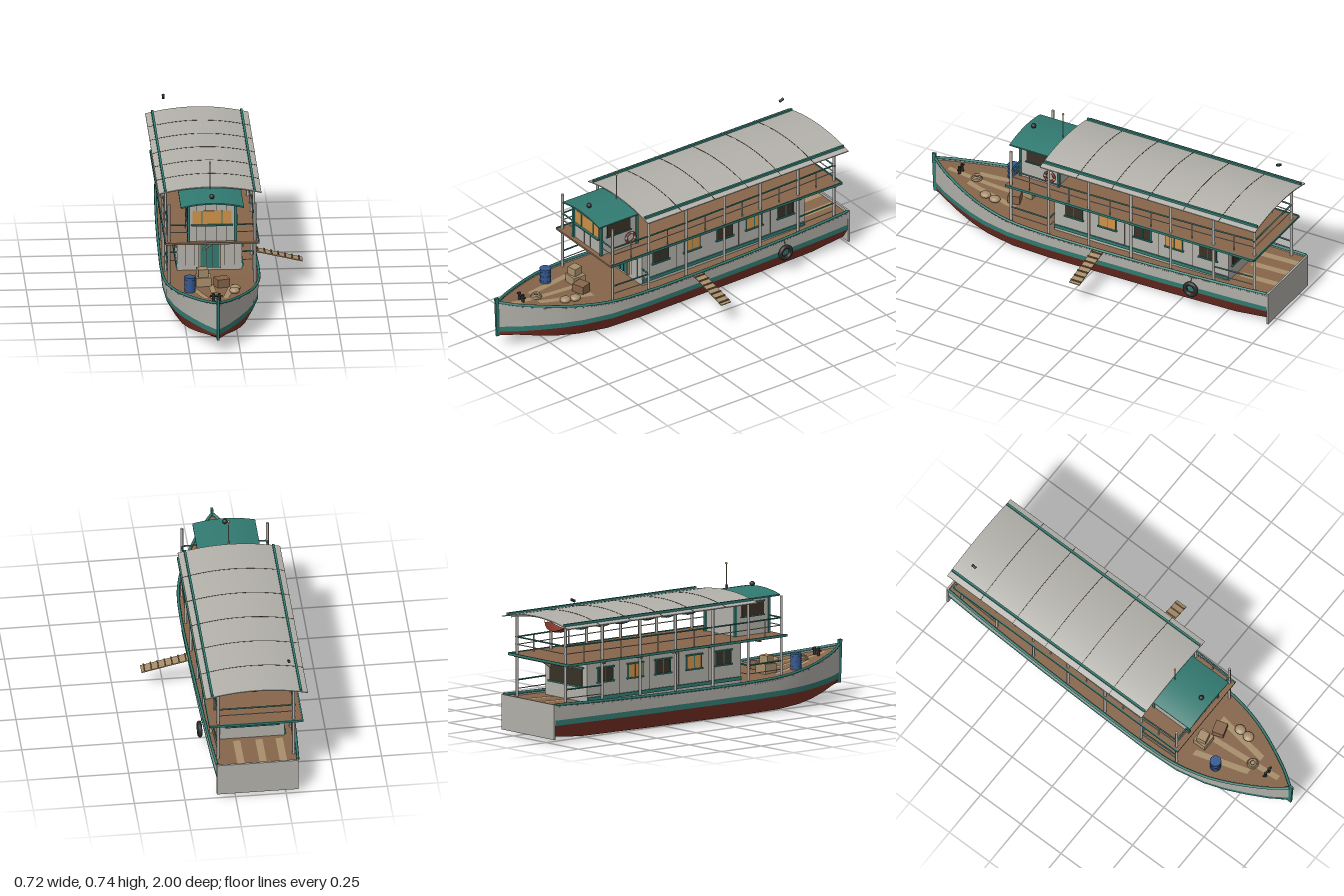
import * as THREE from 'three';
import { toCreasedNormals } from 'three/addons/utils/BufferGeometryUtils.js';

const paint = (name, color) => {
  const m = new THREE.MeshStandardMaterial({ color, side: THREE.DoubleSide });
  m.name = name;
  return m;
};
const V = (x, y, z) => new THREE.Vector3(x, y, z);

// Hull stations from stern to bow: z, half width, sheer height, chine height, keel height
const stations = [
  [-0.99, 0.2, 0.195, 0.03, 0.02], [-0.8, 0.211, 0.189, 0.014, 0.004], [-0.4, 0.226, 0.181, 0.012, 0],
  [0, 0.235, 0.178, 0.012, 0], [0.25, 0.238, 0.18, 0.012, 0], [0.45, 0.229, 0.187, 0.013, 0.002],
  [0.6, 0.197, 0.2, 0.02, 0.006], [0.7, 0.161, 0.21, 0.03, 0.014], [0.8, 0.114, 0.223, 0.045, 0.027],
  [0.9, 0.06, 0.238, 0.064, 0.046], [0.98, 0.004, 0.254, 0.08, 0.065],
];
const at = (z, k) => {
  let i = 0;
  while (i < stations.length - 2 && stations[i + 1][0] < z) i++;
  const a = stations[i], b = stations[i + 1];
  return a[k] + (b[k] - a[k]) * (z - a[0]) / (b[0] - a[0]);
};
const deckY = z => at(z, 2) - 0.014;

export function createModel() {
  const grey = paint('weathered white', 0xb3b1aa), teal = paint('teal', 0x317a71), red = paint('hull red', 0x823529);
  const wood = paint('deck wood', 0x87664b), tan = paint('pale wood', 0xa88f6c), amber = paint('lamp amber', 0xce9248);
  const dark = paint('black rubber', 0x2c2c2b), blue = paint('blue', 0x35588f), glass = paint('dark glass', 0x3a3127);

  const model = new THREE.Group();
  model.name = 'riverBoat';
  const boat = new THREE.Group();
  boat.name = 'boat';
  boat.position.x = -0.11;
  model.add(boat);

  const add = (name, geo, mat, x = 0, y = 0, z = 0) => {
    const m = new THREE.Mesh(geo, mat);
    m.name = name;
    m.position.set(x, y, z);
    boat.add(m);
    return m;
  };
  const box = (name, mat, w, h, d, x, y, z) => add(name, new THREE.BoxGeometry(w, h, d), mat, x, y, z);
  const cyl = (name, mat, r0, r1, h, x, y, z, n = 16) => add(name, new THREE.CylinderGeometry(r0, r1, h, n), mat, x, y, z);
  const bar = (name, mat, p, q, r, n = 8) => {
    const d = q.clone().sub(p);
    const m = cyl(name, mat, r, r, d.length(), 0, 0, 0, n);
    m.position.copy(p).addScaledVector(d, 0.5);
    m.quaternion.setFromUnitVectors(V(0, 1, 0), d.normalize());
    return m;
  };
  // Skin over a list of equal-length cross-sections
  const loft = (name, mat, rows) => {
    const n = rows[0].length, idx = [];
    for (let i = 0; i < rows.length - 1; i++) for (let j = 0; j < n - 1; j++) {
      const a = i * n + j, b = a + n;
      idx.push(a, b, a + 1, b, b + 1, a + 1);
    }
    const g = new THREE.BufferGeometry();
    g.setAttribute('position', new THREE.Float32BufferAttribute(rows.flat(2), 3));
    g.setIndex(idx);
    return add(name, toCreasedNormals(g, 0.5), mat);
  };

  // Hull: red bottom, teal band, pale topsides, deck and gunwales
  loft('hullBottom', red, stations.map(([z, w, , c, k]) => [
    [-w * 0.98, 0.088, z], [-w * 0.79, c, z], [0, k, z], [w * 0.79, c, z], [w * 0.98, 0.088, z]]));
  for (const s of [1, -1]) {
    loft('waterlineBand', teal, stations.map(([z, w]) => [[s * w * 0.985, 0.115, z], [s * w * 0.98, 0.088, z]]));
    loft('topsides', grey, stations.map(([z, w, y]) => [[s * w, y, z], [s * w * 0.985, 0.115, z]]));
    const path = new THREE.CatmullRomCurve3(stations.map(([z, w, y]) => V(s * w, y, z)));
    add('gunwale', new THREE.TubeGeometry(path, 60, 0.007, 8), teal);
  }
  loft('mainDeck', wood, stations.map(([z, w]) => [[w, deckY(z), z], [-w, deckY(z), z]]));
  box('transom', grey, 0.404, 0.175, 0.01, 0, 0.108, -0.995);
  const stem = box('stemPost', teal, 0.012, 0.215, 0.02, 0, 0.172, 0.985);
  stem.rotation.x = 0.04;

  // Pale replaced planks on bow and stern decks
  const patch = (x0, z0, x1, z1, w) => loft('palePlank', tan, [0, 0.25, 0.5, 0.75, 1].map(t => {
    const z = z0 + (z1 - z0) * t, x = x0 + (x1 - x0) * t;
    return [[x - w, deckY(z) + 0.002, z], [x + w, deckY(z) + 0.002, z]];
  }));
  patch(-0.12, 0.48, -0.045, 0.76, 0.016);
  patch(-0.01, 0.48, 0.012, 0.9, 0.014);
  patch(0.1, 0.48, 0.05, 0.77, 0.016);
  for (const x of [-0.13, -0.03, 0.08]) patch(x, -0.985, x, -0.78, 0.018);

  // Main cabin
  box('mainCabin', grey, 0.32, 0.22, 0.98, 0, 0.268, -0.265);
  for (const s of [1, -1]) {
    box('cabinBaseStrip', teal, 0.008, 0.018, 0.98, s * 0.162, 0.19, -0.265);
    [0.113, -0.075, -0.273, -0.45, -0.64].forEach((z, i) => {
      box('cabinWindow', i % 2 ? amber : glass, 0.006, 0.066, 0.09, s * 0.161, 0.304, z);
      for (const y of [0.34, 0.268]) box('windowTrim', teal, 0.014, 0.007, 0.108, s * 0.163, y, z);
      for (const dz of [-0.046, 0, 0.046]) box('windowBar', teal, 0.01, 0.068, 0.004, s * 0.161, 0.304, z + dz);
    });
    for (const z of [0.02, -0.17, -0.36, -0.55]) box('wallSeam', glass, 0.002, 0.18, 0.002, s * 0.16, 0.28, z);
    for (const x of [0.075, 0.12]) box('wallSeam', glass, 0.002, 0.18, 0.002, s * x, 0.28, 0.225);
  }
  box('sternWindow', glass, 0.25, 0.09, 0.008, 0, 0.295, -0.756);
  for (const y of [0.247, 0.343]) box('sternWindowTrim', teal, 0.27, 0.007, 0.014, 0, y, -0.757);

  // Front door with pale frame and brace
  box('frontDoor', teal, 0.09, 0.165, 0.008, 0, 0.262, 0.228);
  box('doorLintel', tan, 0.122, 0.009, 0.016, 0, 0.353, 0.232);
  for (const s of [1, -1]) box('doorJamb', tan, 0.01, 0.17, 0.014, s * 0.051, 0.264, 0.231);
  for (const x of [-0.015, 0.015]) box('doorSeam', glass, 0.002, 0.16, 0.002, x, 0.262, 0.233);
  box('doorRail', tan, 0.08, 0.007, 0.006, 0, 0.327, 0.235);
  bar('doorBrace', tan, V(0.04, 0.325, 0.236), V(-0.035, 0.272, 0.236), 0.004);

  // Upper deck with teal edging
  box('upperDeck', wood, 0.456, 0.01, 1.395, 0, 0.384, -0.235);
  for (const s of [1, -1]) box('deckEdge', teal, 0.006, 0.012, 1.395, s * 0.23, 0.387, -0.235);
  box('sternDeckEdge', teal, 0.46, 0.012, 0.006, 0, 0.387, -0.933);
  for (const z of [0.3, 0, -0.235, -0.455, -0.69, -0.9]) box('deckBeam', wood, 0.44, 0.01, 0.012, 0, 0.374, z);

  // Posts and railings
  const postZ = [0.44, 0.225, 0, -0.235, -0.455, -0.69, -0.915];
  const postX = z => Math.min(at(z, 1) - 0.018, 0.217);
  const rails = [[0.475, teal, 0.004], [0.437, grey, 0.0025]], lowRails = [[0.26, teal, 0.004], [0.217, grey, 0.0025]];
  for (const s of [1, -1]) {
    for (const z of postZ) bar('post', grey, V(s * postX(z), deckY(z), z), V(s * postX(z), 0.583, z), 0.007);
    postZ.slice(1).forEach((z, i) => {
      const a = postZ[i];
      for (const [y, m, r] of rails) bar('upperRail', m, V(s * postX(a), y, a), V(s * postX(z), y, z), r);
      if (i === 0 || i === 5)
        for (const [y, m, r] of lowRails) bar('lowerRail', m, V(s * postX(a), y, a), V(s * postX(z), y, z), r);
      const mid = (a + z) / 2;
      bar('railStanchion', grey, V(s * postX(mid), 0.388, mid), V(s * postX(mid), 0.475, mid), 0.003);
    });
    for (const [y, m, r] of rails) bar('frontRail', m, V(s * 0.217, y, 0.44), V(s * 0.12, y, 0.44), r);
    for (const [y, m, r] of lowRails) bar('cabinRail', m, V(s * 0.217, y, 0.225), V(s * 0.16, y, 0.225), r);
  }
  for (const [y, m, r] of rails) bar('sternRail', m, V(-0.198, y, -0.915), V(0.198, y, -0.915), r);

  // Arched roofs
  const arch = (name, mat, half, top, drop, thick, z0, z1) => {
    const pts = [], n = 16;
    for (let i = 0; i <= n; i++) {
      const t = i / n * 2 - 1;
      pts.push(new THREE.Vector2(t * half, top - drop * t * t));
    }
    const low = pts.slice().reverse().map(p => new THREE.Vector2(p.x, p.y - thick));
    const g = new THREE.ExtrudeGeometry(new THREE.Shape([...pts, ...low]), { depth: z1 - z0, bevelEnabled: false });
    return add(name, toCreasedNormals(g, 0.5), mat, 0, 0, z0);
  };
  arch('mainRoof', grey, 0.253, 0.607, 0.032, 0.005, -0.955, 0.255);
  for (const z of [0.05, -0.15, -0.35, -0.55, -0.75]) arch('roofSeam', glass, 0.253, 0.608, 0.032, 0.002, z, z + 0.003);
  for (const z of postZ.slice(1)) arch('roofRib', grey, 0.225, 0.602, 0.026, 0.009, z - 0.005, z + 0.005);
  for (const s of [1, -1]) box('roofRunner', teal, 0.011, 0.016, 1.2, s * 0.219, 0.586, -0.35);
  arch('wheelhouseRoof', teal, 0.155, 0.599, 0.02, 0.007, 0.22, 0.48);

  // Wheelhouse
  box('wheelhouse', grey, 0.232, 0.195, 0.21, 0, 0.484, 0.333);
  for (const s of [1, -1]) {
    for (const z of [0.44, 0.226]) box('wheelhouseCorner', teal, 0.013, 0.195, 0.013, s * 0.115, 0.485, z);
    box('sideWindow', glass, 0.006, 0.065, 0.14, s * 0.116, 0.517, 0.335);
    for (const y of [0.482, 0.552]) box('sideWindowTrim', teal, 0.012, 0.005, 0.15, s * 0.117, y, 0.335);
    box('windowMullion', teal, 0.005, 0.07, 0.008, s * 0.049, 0.512, 0.44);
  }
  box('frontWindow', amber, 0.19, 0.07, 0.006, 0, 0.512, 0.438);
  box('frontSill', teal, 0.204, 0.007, 0.018, 0, 0.474, 0.444);
  for (const x of [-0.078, -0.03, 0.02, 0.07]) box('wheelhouseSeam', glass, 0.002, 0.19, 0.002, x, 0.484, 0.438);

  // Lifebuoy in four red and four pale arcs
  for (let i = 0; i < 8; i++) {
    const arc = add('lifebuoy', new THREE.TorusGeometry(0.026, 0.007, 8, 6, Math.PI / 4 * (i % 2 ? 0.5 : 1.5)), i % 2 ? grey : red, 0.127, 0.44, 0.27);
    arc.rotation.set(0, Math.PI / 2, 0);
    arc.rotateZ(Math.floor(i / 2) * Math.PI / 2 + (i % 2 ? Math.PI * 0.375 : 0));
  }

  // Mast, searchlight and loose stack cap
  cyl('mast', grey, 0.002, 0.003, 0.14, 0, 0.665, 0.265, 8);
  add('mastLamp', new THREE.SphereGeometry(0.006, 12, 8), amber, 0, 0.737, 0.265);
  add('searchlight', new THREE.SphereGeometry(0.013, 14, 10), dark, 0, 0.617, 0.43);
  bar('stackCap', dark, V(-0.17, 0.692, -0.842), V(-0.17, 0.702, -0.864), 0.007, 12);

  // Hammocks slung across the upper deck
  [[0.01, blue], [-0.125, teal], [-0.247, red], [-0.415, blue], [-0.54, amber], [-0.67, teal], [-0.805, red]].forEach(([z, mat]) => {
    const rows = [];
    for (let i = 0; i <= 12; i++) {
      const t = i / 6 - 1, w = 0.018 + 0.03 * (1 - t * t), y = 0.508 + 0.042 * t * t;
      rows.push([-1, -0.5, 0, 0.5, 1].map(u => [t * 0.085, y + 0.014 * u * u * (1 - t * t), z + u * w]));
    }
    loft('hammock', mat, rows);
    for (const s of [1, -1]) for (const u of [-1, 0, 1])
      bar('hammockCord', tan, V(s * 0.085, 0.55, z + u * 0.018), V(s * 0.11, 0.595, z), 0.0012, 5);
  });

  // Foredeck cargo
  cyl('barrel', blue, 0.027, 0.027, 0.08, -0.118, 0.226, 0.61, 20);
  for (const y of [0.2, 0.226, 0.25, 0.264]) cyl('barrelHoop', blue, 0.0285, 0.0285, 0.004, -0.118, y, 0.61, 20);
  box('crate', tan, 0.075, 0.05, 0.07, -0.045, 0.198, 0.48);
  box('crate', tan, 0.05, 0.04, 0.05, -0.05, 0.243, 0.48).rotation.y = 0.2;
  box('crate', wood, 0.065, 0.045, 0.06, 0.045, 0.2, 0.51).rotation.y = 0.3;
  [[0.106, 0.59], [0.1, 0.645]].forEach(([x, z]) => add('sack', new THREE.SphereGeometry(0.026, 14, 10), tan, x, deckY(z) + 0.012, z).scale.set(1, 0.6, 1.1));
  for (let i = 0; i < 3; i++)
    add('ropeCoil', new THREE.TorusGeometry(0.024 - i * 0.004, 0.005, 8, 20), tan, 0, deckY(0.75) + 0.006 + i * 0.006, 0.75).rotation.x = Math.PI / 2;
  for (const s of [1, -1]) cyl('bollard', dark, 0.007, 0.008, 0.04, s * 0.014, deckY(0.84) + 0.02, 0.84);
  bar('bollardBar', dark, V(-0.032, 0.243, 0.84), V(0.032, 0.243, 0.84), 0.005);
  bar('sternOar', tan, V(0.12, 0.31, -0.74), V(0.12, 0.36, -0.82), 0.008);

  // Tyre fender hung on the side
  const tyreX = at(-0.585, 1) + 0.022;
  add('tyreFender', new THREE.TorusGeometry(0.031, 0.011, 10, 24), dark, tyreX, 0.117, -0.585).rotation.y = Math.PI / 2;
  bar('fenderRope', tan, V(tyreX, 0.155, -0.585), V(tyreX - 0.018, 0.187, -0.585), 0.002);

  // Boarding plank with cleats
  const plank = new THREE.Group();
  plank.name = 'boardingPlank';
  plank.position.set(0.352, 0.142, -0.06);
  plank.rotation.z = -0.23;
  boat.add(plank);
  plank.add(box('plankBoard', tan, 0.245, 0.005, 0.058, 0, 0, 0));
  for (let i = 0; i < 7; i++) plank.add(box('plankCleat', wood, 0.006, 0.006, 0.058, -0.105 + i * 0.035, 0.005, 0));

  return model;
}
